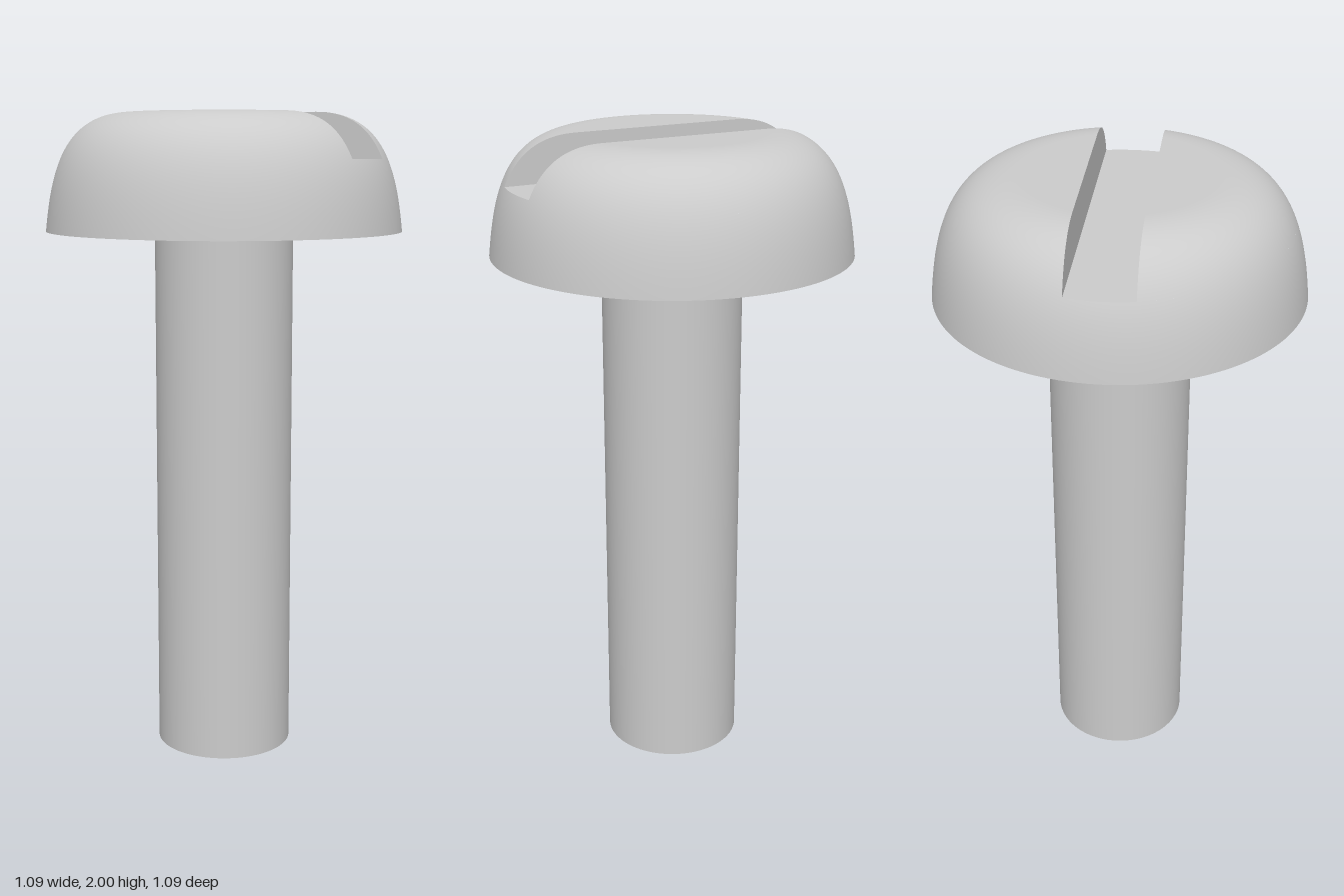
import * as THREE from 'three';
import { mergeGeometries } from 'three/addons/utils/BufferGeometryUtils.js';

const SHANK_R = 0.213, HEAD_R = 0.545, HEAD_Y = 1.645, TOP_Y = 2;
const SLOT_Y = 1.862, SLOT_H = 0.096; // slot floor height and half width
const SEG = 64;

// Side of the head, from its lower rim to the flat top
const profile = new THREE.CubicBezierCurve(
  new THREE.Vector2(HEAD_R, HEAD_Y), new THREE.Vector2(0.525, 1.83),
  new THREE.Vector2(0.485, TOP_Y), new THREE.Vector2(0.28, TOP_Y));

// Curve parameter at a given height
function paramAt(y) {
  let lo = 0, hi = 1;
  for (let i = 0; i < 40; i++) {
    const mid = (lo + hi) / 2;
    if (profile.getPoint(mid).y < y) lo = mid; else hi = mid;
  }
  return lo;
}

// Profile points with outward normals between two parameters
function sample(t0, t1, n) {
  return Array.from({ length: n + 1 }, (_, i) => {
    const t = t0 + (t1 - t0) * i / n;
    const p = profile.getPoint(t), d = profile.getTangent(t);
    return { r: p.x, y: p.y, nr: d.y, ny: -d.x };
  });
}

// Half turn of the profile, keeping only z >= cut
function halfShell(rows, cut) {
  const pos = [], nor = [], idx = [], w = SEG + 1;
  rows.forEach(({ r, y, nr, ny }, i) => {
    const a0 = Math.asin(Math.min(1, cut / r));
    for (let j = 0; j <= SEG; j++) {
      const a = a0 + (Math.PI - 2 * a0) * j / SEG;
      pos.push(r * Math.cos(a), y, r * Math.sin(a));
      nor.push(nr * Math.cos(a), ny, nr * Math.sin(a));
      if (i && j) {
        const d = i * w + j, b = d - w;
        idx.push(b - 1, d - 1, b, b, d - 1, d);
      }
    }
  });
  const g = new THREE.BufferGeometry();
  g.setAttribute('position', new THREE.Float32BufferAttribute(pos, 3));
  g.setAttribute('normal', new THREE.Float32BufferAttribute(nor, 3));
  g.setIndex(idx);
  return g;
}

export function createModel() {
  const model = new THREE.Group();
  const material = new THREE.MeshStandardMaterial({ color: 0xcccccc });
  const add = (parent, name, geometry) => {
    const mesh = new THREE.Mesh(geometry, material);
    mesh.name = name;
    parent.add(mesh);
    return mesh;
  };

  // Plain shank with a flat end
  add(model, 'shank', mergeGeometries([
    new THREE.CylinderGeometry(SHANK_R, SHANK_R, HEAD_Y, SEG, 1, true).translate(0, HEAD_Y / 2, 0),
    new THREE.CircleGeometry(SHANK_R, SEG).rotateX(Math.PI / 2),
  ]));

  // Head: two mirrored halves on either side of the slot
  const tSlot = paramAt(SLOT_Y);
  const lower = sample(0, tSlot, 12), upper = sample(tSlot, 1, 24);
  const top = { r: SLOT_H, y: TOP_Y, nr: 0, ny: 1 };
  const lowerGeo = halfShell(lower, 0);
  const upperGeo = halfShell([...upper, top], SLOT_H);

  // Slot wall outline follows the cut through the dome
  const edge = upper.map(p => new THREE.Vector2(Math.sqrt(p.r ** 2 - SLOT_H ** 2), p.y));
  const mirrored = edge.map(p => new THREE.Vector2(-p.x, p.y)).reverse();
  const wallGeo = new THREE.ShapeGeometry(new THREE.Shape([...edge, ...mirrored]))
    .rotateY(Math.PI).translate(0, 0, SLOT_H);

  const head = new THREE.Group();
  head.name = 'head';
  model.add(head);
  for (const turn of [0, Math.PI]) {
    const half = new THREE.Group();
    half.name = turn ? 'backHalf' : 'frontHalf';
    half.rotation.y = turn;
    add(half, 'headSide', lowerGeo);
    add(half, 'headDome', upperGeo);
    add(half, 'slotWall', wallGeo);
    head.add(half);
  }

  // Slot floor with rounded ends
  const slotR = upper[0].r, a = Math.asin(SLOT_H / slotR);
  const floor = new THREE.Shape();
  floor.absarc(0, 0, slotR, -a, a, false);
  floor.absarc(0, 0, slotR, Math.PI - a, Math.PI + a, false);
  add(head, 'slotFloor', new THREE.ShapeGeometry(floor, 12)
    .rotateX(-Math.PI / 2).translate(0, SLOT_Y, 0));

  // Flat underside of the head
  add(head, 'headUnderside', new THREE.RingGeometry(SHANK_R, HEAD_R, 2 * SEG)
    .rotateX(Math.PI / 2).translate(0, HEAD_Y, 0));

  return model;
}
